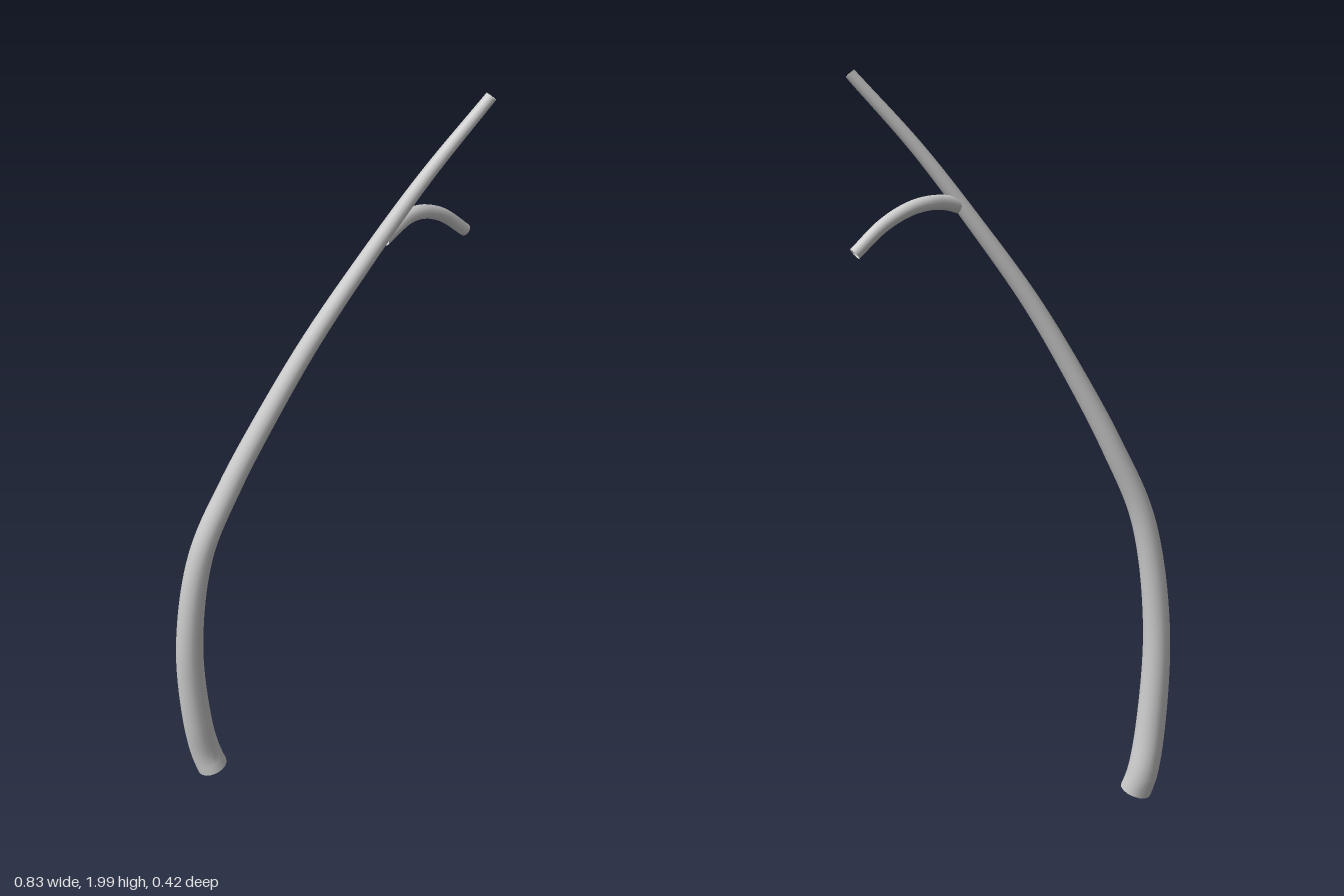
import * as THREE from 'three';

const material = new THREE.MeshStandardMaterial({ color: 0xcccccc, side: THREE.DoubleSide });

// Open tube along a smooth curve, tapering evenly from radius r0 to r1
function taperedTube(name, points, r0, r1, segments, sides = 16) {
  const curve = new THREE.CatmullRomCurve3(points.map(p => new THREE.Vector3(...p)));
  const geometry = new THREE.TubeGeometry(curve, segments, 1, sides, false);
  const pos = geometry.attributes.position;
  const v = new THREE.Vector3();
  for (let i = 0; i <= segments; i++) {
    const t = i / segments;
    const centre = curve.getPointAt(t);
    const radius = THREE.MathUtils.lerp(r0, r1, t);
    for (let j = 0; j <= sides; j++) {
      const k = i * (sides + 1) + j;
      v.fromBufferAttribute(pos, k).sub(centre).multiplyScalar(radius).add(centre);
      pos.setXYZ(k, v.x, v.y, v.z);
    }
  }
  const mesh = new THREE.Mesh(geometry, material);
  mesh.name = name;
  return mesh;
}

export function createModel() {
  const group = new THREE.Group();
  group.name = 'branchingStem';

  // Main stem: hooked at the foot, bowed, then straight to the tip
  group.add(taperedTube('mainStem', [
    [-0.325, 0.027, -0.152], [-0.336, 0.08, -0.166], [-0.36, 0.21, -0.167],
    [-0.381, 0.5, -0.158], [-0.35, 0.8, -0.13], [-0.275, 1.0, -0.093],
    [-0.183, 1.2, -0.045], [-0.078, 1.4, 0.007], [0.05, 1.6, 0.064],
    [0.187, 1.8, 0.127], [0.34, 1.99, 0.194],
  ], 0.043, 0.0145, 80));

  // Side twig: leaves the stem level and droops outwards
  group.add(taperedTube('sideTwig', [
    [0.09, 1.654, 0.084], [0.14, 1.667, 0.077], [0.2, 1.67, 0.064],
    [0.26, 1.659, 0.057], [0.33, 1.625, 0.057], [0.405, 1.56, 0.066],
  ], 0.02, 0.0165, 32));

  return group;
}
